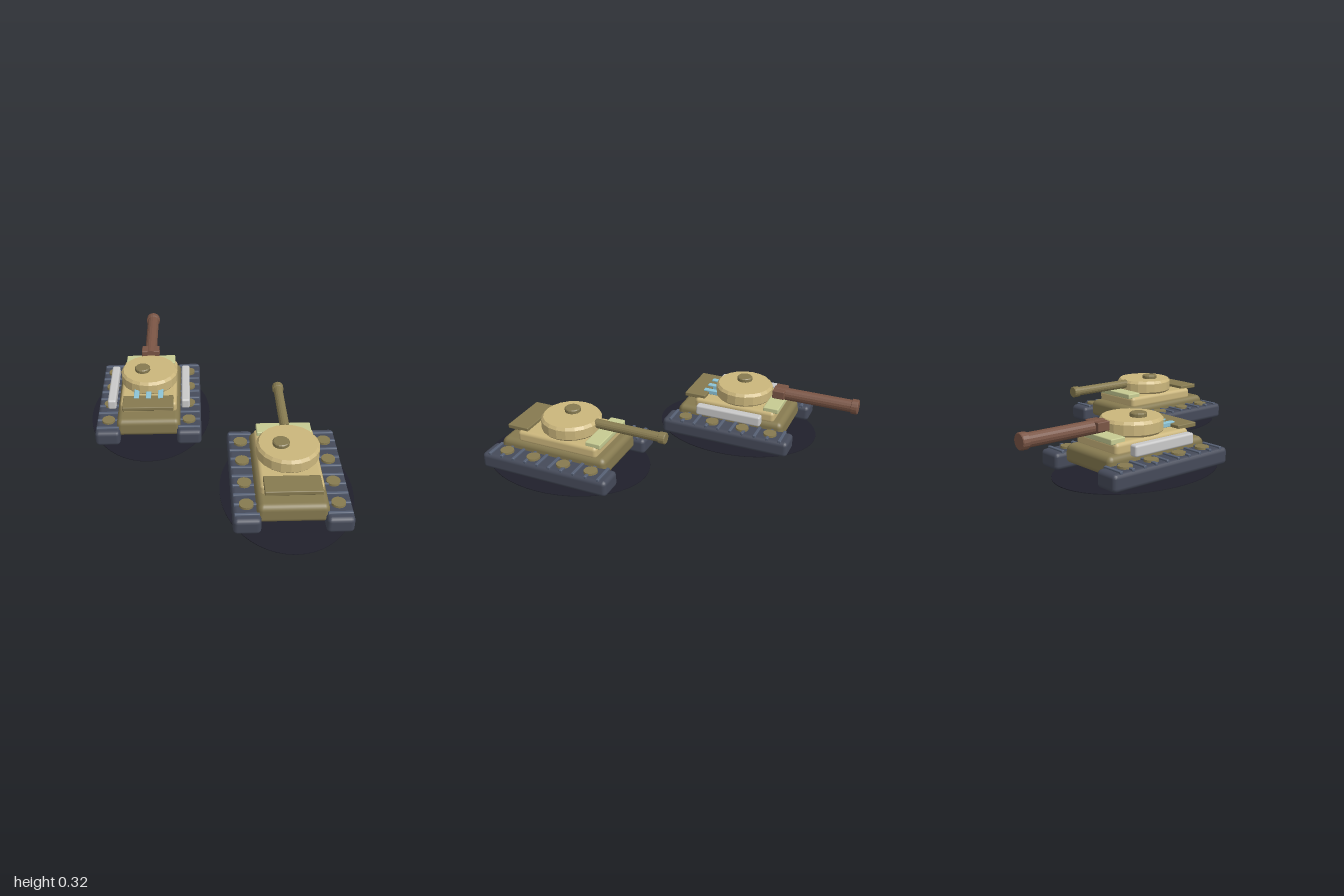
import * as THREE from 'three';
import { RoundedBoxGeometry } from 'three/addons/geometries/RoundedBoxGeometry.js';

const paint = (name, color) => {
  const m = new THREE.MeshStandardMaterial({ color });
  m.name = name;
  return m;
};

export function createModel() {
  const sand = paint('sand', 0xcbb67c);
  const olive = paint('olive', 0x867a50);
  const slate = paint('slate', 0x454a59);
  const steel = paint('steel', 0x566074);
  const pale = paint('pale green', 0xc6cb92);
  const grey = paint('light grey', 0xc9c9c9);
  const blue = paint('light blue', 0x8cc3d6);
  const brown = paint('brown', 0x7a5545);
  const dark = paint('dark base', 0x20202b);

  const add = (parent, name, geometry, material, x = 0, y = 0, z = 0) => {
    const mesh = new THREE.Mesh(geometry, material);
    mesh.name = name;
    mesh.position.set(x, y, z);
    parent.add(mesh);
    return mesh;
  };
  // Rounded block given by its limits in y and z and its centre in x
  const block = (parent, name, material, x, width, y0, y1, z0, z1, r) =>
    add(parent, name, new RoundedBoxGeometry(width, y1 - y0, z1 - z0, 2, r), material,
      x, (y0 + y1) / 2, (z0 + z1) / 2);
  // Faceted turned part from [radius, height] points
  const turned = (points, sides) => {
    const g = new THREE.LatheGeometry(points.map(p => new THREE.Vector2(...p)), sides).toNonIndexed();
    g.computeVertexNormals();
    return g;
  };

  // Barrel pointing to -z, with a wider muzzle ring and a hollow bore
  const barrel = (parent, material, r, muzzle, start, end) => {
    const length = start - end;
    const profile = [[0, 0], [r, 0], [r, length - 0.04], [muzzle, length - 0.037],
      [muzzle, length - 0.004], [muzzle - 0.004, length], [0, length]];
    const mesh = add(parent, 'barrel', turned(profile, 16), material, 0, 0.279, start);
    mesh.rotation.x = -Math.PI / 2;
  };

  const tank = (name, x, z) => {
    const t = new THREE.Group();
    t.name = name;
    t.position.set(x, 0, z);

    // Oval ground base
    const base = add(t, 'base', new THREE.CylinderGeometry(1, 1, 0.004, 48), dark, 0, 0.002, 0.015);
    base.scale.set(0.367, 1, 0.493);

    // Tracks with cleats and round caps
    for (const s of [-1, 1]) {
      block(t, 'track', slate, s * 0.238, 0.145, 0.025, 0.12, -0.39, 0.39, 0.024);
      for (let i = 0; i < 10; i++) {
        const cz = -0.34 + i * 0.68 / 9;
        block(t, 'cleat', steel, s * 0.238, 0.13, 0.112, 0.129, cz - 0.009, cz + 0.009, 0.004);
      }
      for (const cz of [-0.266, -0.095, 0.095, 0.266])
        add(t, 'trackCap', new THREE.CylinderGeometry(0.038, 0.04, 0.02, 16), olive, s * 0.238, 0.122, cz);
    }

    // Lower hull, narrowing towards the top
    const hull = new RoundedBoxGeometry(0.38, 0.105, 0.67, 3, 0.03);
    const p = hull.attributes.position;
    for (let i = 0; i < p.count; i++) {
      const k = Math.max(0, p.getY(i)) / 0.0525;
      p.setX(i, p.getX(i) * (1 - 0.05 * k));
      p.setZ(i, p.getZ(i) * (1 - 0.03 * k));
    }
    add(t, 'lowerHull', hull, olive, 0, 0.1125, 0.01);

    // Upper hull with front and rear plates
    block(t, 'upperHull', sand, 0, 0.335, 0.15, 0.222, -0.262, 0.238, 0.022);
    block(t, 'frontPlate', pale, 0, 0.306, 0.213, 0.244, -0.282, -0.19, 0.006);
    block(t, 'rearPlate', olive, 0, 0.298, 0.215, 0.24, 0.178, 0.308, 0.005);

    // Turret and hatch
    add(t, 'turret', turned([[0, 0], [0.16, 0], [0.171, 0.012], [0.171, 0.066],
      [0.158, 0.082], [0, 0.082]], 20), sand, 0, 0.22, -0.022);
    add(t, 'hatch', turned([[0, 0], [0.046, 0], [0.046, 0.018], [0.041, 0.023], [0, 0.023]], 16),
      olive, -0.04, 0.301, -0.008);
    return t;
  };

  const model = new THREE.Group();
  model.name = 'tankPair';

  // Plain tank
  const plain = tank('plainTank', 0.382, 0.48);
  barrel(plain, olive, 0.027, 0.033, -0.18, -0.605);

  // Upgraded tank: heavy cannon, side armour, rear strips
  const heavy = tank('heavyTank', -0.385, -0.285);
  barrel(heavy, brown, 0.037, 0.044, -0.212, -0.715);
  block(heavy, 'cannonMount', brown, 0, 0.11, 0.261, 0.311, -0.285, -0.212, 0.005);
  for (const s of [-1, 1])
    block(heavy, 'sideArmour', grey, s * 0.219, 0.05, 0.155, 0.217, -0.2, 0.2, 0.012);
  for (const sx of [-0.071, 0, 0.071])
    block(heavy, 'rearStrip', blue, sx, 0.031, 0.222, 0.248, 0.1, 0.212, 0.004);

  model.add(plain, heavy);
  return model;
}
